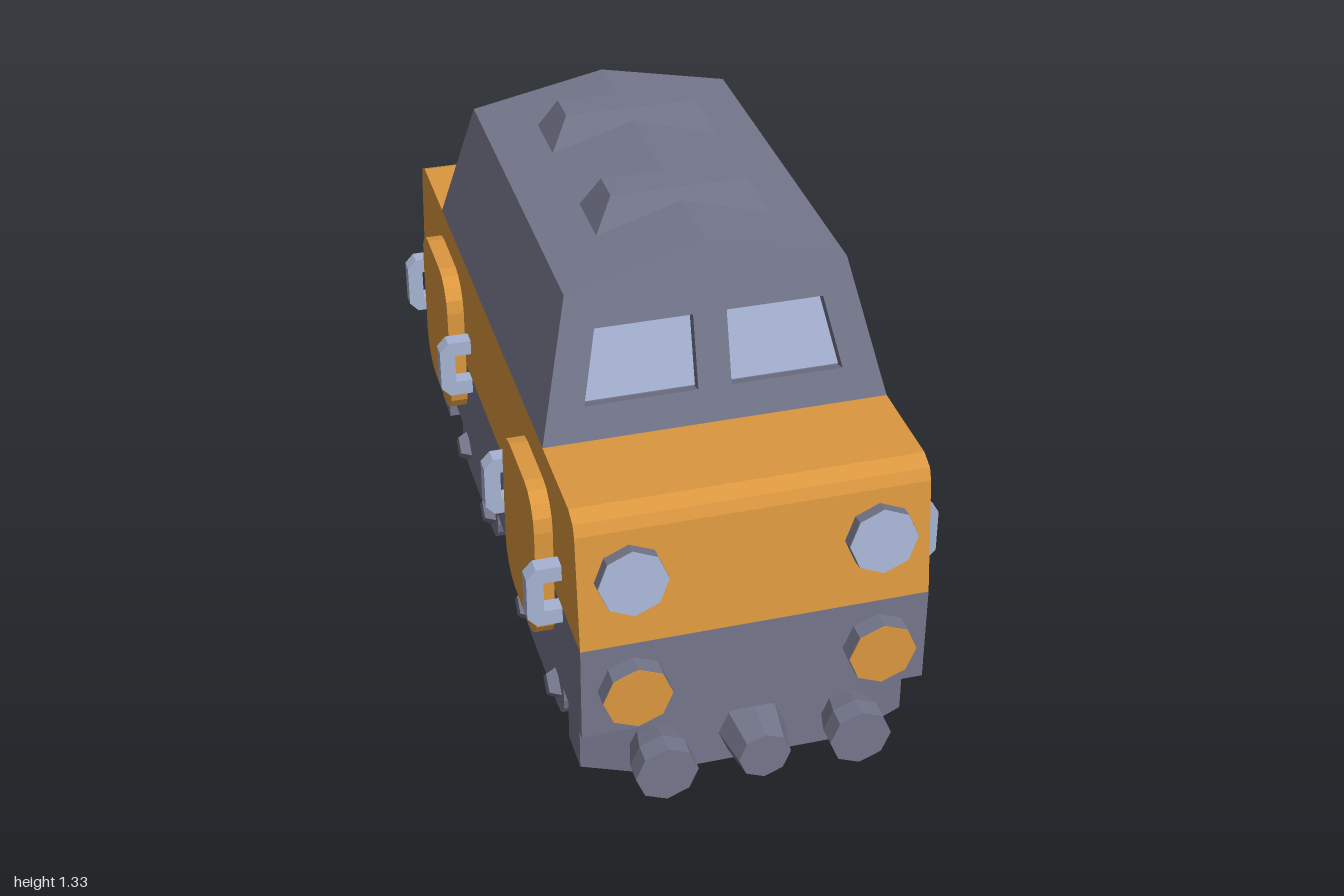
import * as THREE from 'three';

const grey = new THREE.MeshStandardMaterial({ color: 0x74768b });
grey.name = 'slate grey';
const orange = new THREE.MeshStandardMaterial({ color: 0xdb973f });
orange.name = 'orange';
const blue = new THREE.MeshStandardMaterial({ color: 0xa6b3d2 });
blue.name = 'pale blue';

const polygon = (pts) => new THREE.Shape(pts.map(([x, y]) => new THREE.Vector2(x, y)));

function add(parent, name, geo, mat, x = 0, y = 0, z = 0) {
  const mesh = new THREE.Mesh(geo, mat);
  mesh.name = name;
  mesh.position.set(x, y, z);
  parent.add(mesh);
  return mesh;
}

const extrude = (shape, depth, curveSegments = 3) =>
  new THREE.ExtrudeGeometry(shape, { depth, bevelEnabled: false, curveSegments }).translate(0, 0, -depth / 2);

// Outline drawn in (z, y), thickened along x
const extrudeX = (shape, width, seg) => extrude(shape, width, seg).rotateY(-Math.PI / 2);

function flat(geo) {
  const g = geo.toNonIndexed();
  g.computeVertexNormals();
  return g;
}

function roundedRect(x0, x1, y0, y1, r) {
  const s = new THREE.Shape();
  s.moveTo(x0 + r, y0);
  s.absarc(x1 - r, y0 + r, r, -Math.PI / 2, 0);
  s.absarc(x1 - r, y1 - r, r, 0, Math.PI / 2);
  s.absarc(x0 + r, y1 - r, r, Math.PI / 2, Math.PI);
  s.absarc(x0 + r, y0 + r, r, Math.PI, Math.PI * 1.5);
  return s;
}

// Eight-sided cylinder along z, from z = 0 to z = length
const drum = (rBack, rFront, length) =>
  flat(new THREE.CylinderGeometry(rFront, rBack, length, 8).rotateX(Math.PI / 2).translate(0, 0, length / 2));

// Box that narrows towards the top, standing on y = 0
function taperedBox(w, h, d, sx, sz) {
  const g = new THREE.BoxGeometry(w, h, d).translate(0, h / 2, 0);
  const p = g.attributes.position;
  for (let i = 0; i < p.count; i++) {
    if (p.getY(i) > h / 2) p.setXYZ(i, p.getX(i) * sx, h, p.getZ(i) * sz);
  }
  return flat(g);
}

// Cabin end wall position at a given height
const SLOPE = 0.289, RECESS = 0.035;
const endZ = (y) => 0.585 - (y - 0.885) * SLOPE;
const cabinOutline = [[-0.415, 0.885], [0.415, 0.885], [0.335, 1.22], [0, 1.3], [-0.335, 1.22]];
const windowOutline = (s) => [[0.04 * s, 0.965], [0.31 * s, 0.965], [0.272 * s, 1.137], [0.04 * s, 1.137]];

function buildCabin(group) {
  // Core between the two recessed end walls
  const core = extrude(polygon(cabinOutline), 2);
  let p = core.attributes.position;
  for (let i = 0; i < p.count; i++) p.setZ(i, p.getZ(i) * (endZ(p.getY(i)) - RECESS));
  add(group, 'cabin', flat2(core), grey);

  // Sloping end wall with window openings
  const wall = polygon(cabinOutline);
  for (const s of [-1, 1]) wall.holes.push(new THREE.Path(polygon(windowOutline(s)).getPoints()));
  const panel = extrude(wall, RECESS);
  p = panel.attributes.position;
  for (let i = 0; i < p.count; i++) {
    const y = p.getY(i), inner = p.getZ(i) < 0;
    const isWindow = y > 0.93 && y < 1.17;
    const newY = inner && isWindow ? y - 0.01 : y;
    p.setY(i, newY);
    p.setZ(i, endZ(newY) - (inner ? RECESS : 0));
  }
  flat2(panel);

  // Glass at the back of each recess
  const glass = [-1, 1].map((s) => {
    const g = extrude(polygon(windowOutline(s)), 0.004);
    const q = g.attributes.position;
    for (let i = 0; i < q.count; i++) {
      const y = q.getY(i) - 0.005;
      q.setY(i, y);
      q.setZ(i, q.getZ(i) + endZ(y) - RECESS + 0.003);
    }
    return flat2(g);
  });
  for (const turn of [0, Math.PI]) {
    const end = new THREE.Group();
    end.name = turn ? 'cabinBack' : 'cabinFront';
    end.rotation.y = turn;
    add(end, 'cabinEndWall', panel, grey);
    glass.forEach((g) => add(end, 'windowGlass', g, blue));
    group.add(end);
  }

  // Roof vents straddling the ridge
  for (const z of [-0.215, 0.215]) {
    add(group, 'roofVent', taperedBox(0.42, 0.08, 0.16, 0.79, 0.55), grey, 0, 1.25, z);
  }
}

function flat2(g) {
  g.computeVertexNormals();
  return g;
}

// Lamps, buffers and skirt of one end, facing +z
function buildEnd(turn) {
  const end = new THREE.Group();
  end.name = turn ? 'backEnd' : 'frontEnd';
  end.rotation.y = turn;

  const skirt = extrude(polygon([[-0.4, 0.72], [0.4, 0.72], [0.4, 0.83], [0.25, 0.895], [-0.25, 0.895], [-0.4, 0.83]]), 0.165)
    .rotateX(Math.PI / 2).scale(1, -1, 1);
  // Mirroring keeps the outline in +z, so the winding is restored here
  const p = skirt.attributes.position, a = p.array;
  for (let i = 0; i < a.length; i += 9) {
    for (let k = 0; k < 3; k++) [a[i + 3 + k], a[i + 6 + k]] = [a[i + 6 + k], a[i + 3 + k]];
  }
  // The rotation already maps shape y to +z; undo the flip of the winding
  for (let i = 0; i < p.count; i++) p.setY(i, p.getY(i));
  add(end, 'skirt', flat2(skirt), grey, 0, 0.2175, 0);

  for (const s of [-1, 1]) {
    const head = new THREE.Group();
    head.name = 'headlight';
    head.position.set(s * 0.293, 0.72, 0.88);
    head.rotation.x = -0.12;
    add(head, 'headlightHousing', drum(0.083, 0.083, 0.045), grey);
    add(head, 'headlightLens', drum(0.082, 0.082, 0.004), blue, 0, 0, 0.043);
    end.add(head);

    add(end, 'lowerLampHousing', drum(0.083, 0.083, 0.06), grey, s * 0.293, 0.428, 0.9);
    add(end, 'lowerLampLens', drum(0.082, 0.082, 0.004), orange, s * 0.293, 0.428, 0.958);

    add(end, 'bufferStem', drum(0.05, 0.075, 0.1), grey, s * 0.235, 0.22, 0.85);
    add(end, 'bufferHead', drum(0.075, 0.075, 0.05), grey, s * 0.235, 0.22, 0.95);
  }
  add(end, 'coupler', drum(0.083, 0.063, 0.12), grey, 0, 0.22, 0.88);
  return end;
}

// Four-wheeled truck centred on z = 0
function buildBogie(z) {
  const bogie = new THREE.Group();
  bogie.name = 'bogie';
  bogie.position.z = z;
  add(bogie, 'bogieBody', extrudeX(roundedRect(-0.25, 0.25, 0.06, 0.24, 0.089), 0.56, 6), grey);

  const R = 0.16, A = R * Math.cos(Math.PI / 8);
  const rim = [[A, 0]];
  for (let k = 0; k < 4; k++) {
    const t = Math.PI / 8 + k * Math.PI / 4;
    rim.push([R * Math.cos(t), R * Math.sin(t)]);
  }
  rim.push([-A, 0]);
  const wheel = flat(new THREE.CylinderGeometry(R, R, 0.085, 8).rotateY(Math.PI / 8).rotateZ(Math.PI / 2));
  const face = extrudeX(polygon(rim), 0.089);
  const axleBox = flat(new THREE.CylinderGeometry(0.033, 0.052, 0.03, 4).rotateZ(-Math.PI / 2));

  for (const s of [-1, 1]) {
    add(bogie, 'sideFrame', extrudeX(roundedRect(-0.235, 0.235, 0.078, 0.225, 0.072), 0.05, 2), grey, s * 0.36, 0, 0);
    add(bogie, 'frameBracket', new THREE.BoxGeometry(0.05, 0.24, 0.16), grey, s * 0.355, 0.18, 0);
    for (const dz of [-0.16, 0.16]) {
      add(bogie, 'wheel', wheel, grey, s * 0.292, 0.148, dz);
      add(bogie, 'wheelFace', face, blue, s * 0.292, 0.148, dz);
      const box = add(bogie, 'axleBox', axleBox, grey, s * 0.397, 0.15, dz);
      if (s < 0) box.rotation.y = Math.PI;
    }
  }
  return bogie;
}

export function createModel() {
  const group = new THREE.Group();
  group.name = 'locomotive';

  // Main body
  add(group, 'lowerBody', new THREE.BoxGeometry(0.83, 0.25, 1.83), grey, 0, 0.425, 0);
  const hood = [[-0.915, 0.55], [0.915, 0.55], [0.88, 0.84], [0.868, 0.868], [0.83, 0.885],
    [-0.83, 0.885], [-0.868, 0.868], [-0.88, 0.84]];
  add(group, 'upperBody', extrudeX(polygon(hood), 0.83), orange);
  buildCabin(group);

  // Side doors and grab handles
  const door = extrudeX(roundedRect(-0.167, 0.167, 0.38, 0.8, 0.09), 0.05, 2);
  const handle = extrude(polygon([[0.41, 0.51], [0.475, 0.51], [0.498, 0.535], [0.498, 0.645], [0.475, 0.67], [0.41, 0.67],
    [0.41, 0.63], [0.458, 0.63], [0.458, 0.55], [0.41, 0.55]]), 0.04);
  for (const s of [-1, 1]) {
    for (const e of [-1, 1]) {
      add(group, 'sideDoor', door, orange, s * 0.434, 0, e * 0.502);
      for (const z of [0.275, 0.73]) {
        const h = add(group, 'grabHandle', handle, blue, 0, 0, e * z);
        if (s < 0) h.rotation.y = Math.PI;
      }
    }
  }

  // Ends and running gear
  group.add(buildEnd(0), buildEnd(Math.PI));
  group.add(buildBogie(0.375), buildBogie(-0.375));
  add(group, 'tank', new THREE.CylinderGeometry(0.16, 0.16, 0.165, 16).scale(2, 1, 1), grey, 0, 0.2175, 0);
  return group;
}
